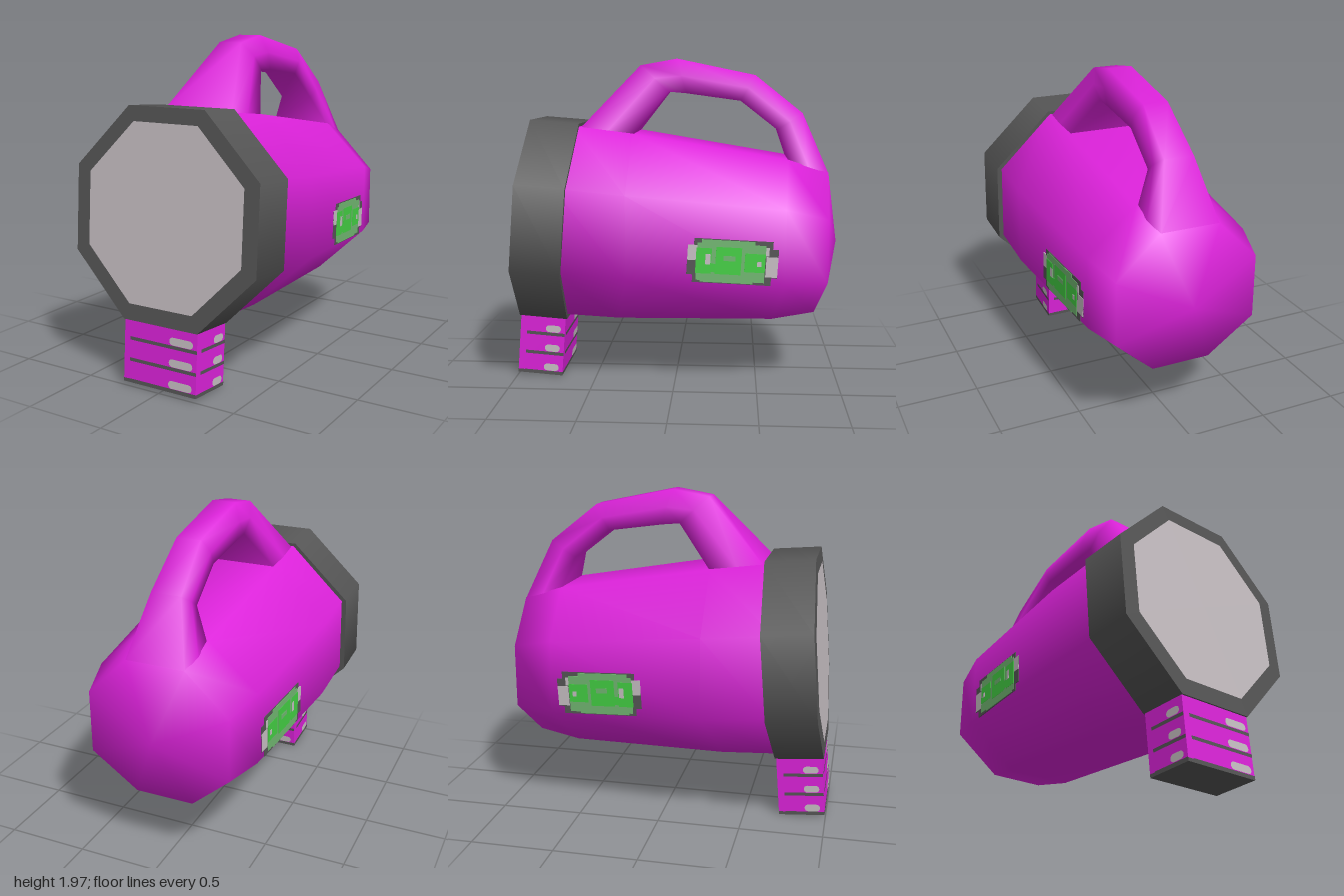
import * as THREE from 'three';

const mat = (name, color, side = THREE.FrontSide) => {
  const m = new THREE.MeshStandardMaterial({ color, side });
  m.name = name;
  return m;
};

// Skin a list of closed rings (counter-clockwise seen from the front), with an optional end point
function loft(rings, apex) {
  const n = rings[0].length, pos = rings.flat(2), idx = [];
  for (let i = 0; i < rings.length; i++) {
    for (let j = 0; j < n; j++) {
      const a = i * n + j, b = i * n + (j + 1) % n;
      if (i < rings.length - 1) idx.push(a, a + n, b, b, a + n, b + n);
      else if (apex) idx.push(a, rings.length * n, b);
    }
  }
  if (apex) pos.push(...apex);
  const g = new THREE.BufferGeometry();
  g.setAttribute('position', new THREE.Float32BufferAttribute(pos, 3));
  g.setIndex(idx);
  g.computeVertexNormals();
  return g;
}

export function createModel() {
  const magenta = mat('magenta shell', 0xdc22da);
  const dark = mat('dark grey', 0x565656);
  const pale = mat('pale grey', 0xc8c0c4);
  const lightGreen = mat('soft green', 0x72b872);
  const green = mat('bright green', 0x44d044);

  const model = new THREE.Group();
  const add = (parent, name, geo, material, x = 0, y = 0, z = 0) => {
    const m = new THREE.Mesh(geo, material);
    m.name = name;
    m.position.set(x, y, z);
    parent.add(m);
    return m;
  };

  // Body: octagonal sections from front to back
  // [half width, top half flat, yTop, yHigh, yLow, yBottom, zTop, zSide, zBottom]
  const bodyRings = [
    [0.58, 0.24, 1.57, 1.23, 0.74, 0.40, 0.62, 0.68, 0.72],
    [0.58, 0.24, 1.525, 1.19, 0.70, 0.38, 0.26, 0.27, 0.35],
    [0.50, 0.21, 1.37, 1.10, 0.66, 0.38, -0.68, -0.66, -0.595],
    [0.435, 0.18, 1.29, 1.04, 0.66, 0.42, -0.925, -0.91, -0.855],
  ].map(([w, t, top, hi, lo, bot, zt, zs, zb]) => [
    [w, lo, zs], [w, hi, zs], [t, top, zt], [-t, top, zt],
    [-w, hi, zs], [-w, lo, zs], [-t, bot, zb], [t, bot, zb],
  ]);
  add(model, 'body', loft(bodyRings, [0, 0.84, -1]), magenta);

  // Handle: six-sided bar flaring into the body at both ends
  // [outer z, outer y, outer half width, inner z, inner y, inner half width]
  const handleRings = [
    [0.585, 1.55, 0.235, 0.26, 1.515, 0.23],
    [0.225, 1.935, 0.075, 0.05, 1.775, 0.11],
    [0.0, 1.975, 0.075, -0.06, 1.765, 0.11],
    [-0.48, 1.875, 0.075, -0.39, 1.72, 0.11],
    [-0.77, 1.645, 0.09, -0.615, 1.545, 0.11],
    [-0.925, 1.285, 0.18, -0.68, 1.365, 0.20],
  ].map(([oz, oy, ow, iz, iy, iw]) => {
    const m = [Math.max(ow, iw) + 0.005, (oy + iy) / 2, (oz + iz) / 2];
    return [
      [iw, iy, iz], m, [ow, oy, oz],
      [-ow, oy, oz], [-m[0], m[1], m[2]], [-iw, iy, iz],
    ];
  });
  add(model, 'handle', loft(handleRings), magenta);

  // Head: slightly upturned octagonal rim with a lens
  const head = new THREE.Group();
  head.name = 'head';
  head.position.set(0, 0.988, 0.78);
  head.rotation.x = -0.078;
  model.add(head);
  const octRadius = (apothem) => apothem / Math.cos(Math.PI / 8);
  const rimGeo = new THREE.CylinderGeometry(octRadius(0.61), octRadius(0.61), 0.298, 8, 1, false, Math.PI / 8);
  rimGeo.rotateX(Math.PI / 2);
  add(head, 'rim', rimGeo, dark);
  add(head, 'lens', new THREE.CircleGeometry(octRadius(0.518), 8, Math.PI / 8), pale, 0, 0.005, 0.153);

  // Foot: block under the head with a dark sole
  add(head, 'foot', new THREE.BoxGeometry(0.5, 0.39, 0.28), magenta, 0, -0.765, 0);
  add(head, 'sole', new THREE.BoxGeometry(0.5, 0.02, 0.28), dark, 0, -0.97, 0);

  // Grooves and pads repeated on the four faces of the foot
  for (let k = 0; k < 4; k++) {
    const face = new THREE.Group();
    face.name = 'footFace';
    face.rotation.y = k * Math.PI / 2;
    head.add(face);
    const wide = k % 2 === 0;
    const half = wide ? 0.25 : 0.14, out = wide ? 0.14 : 0.25;
    const padLength = wide ? 0.16 : 0.095, r = 0.0225;
    const grooveLength = half * 2 - 0.04;
    const pad = new THREE.Shape();
    pad.absarc(padLength / 2 - r, 0, r, -Math.PI / 2, Math.PI / 2);
    pad.absarc(-padLength / 2 + r, 0, r, Math.PI / 2, Math.PI * 1.5);
    for (let i = 0; i < 3; i++) {
      const y = -0.717 - i * 0.125;
      add(face, 'groove', new THREE.PlaneGeometry(grooveLength, 0.02), dark, 0.02, y, out + 0.002);
      add(face, 'pad', new THREE.ShapeGeometry(pad, 4), pale, half - 0.025 - padLength / 2, y + 0.035, out + 0.004);
    }
  }

  // Side panels: layered thin blocks [material, z, y, length, height, layer]
  const blocks = [
    [dark, 0.0, 0.0, 0.46, 0.26, 0],
    [dark, 0.0, 0.0, 0.53, 0.17, 0],
    [pale, 0.235, 0.045, 0.06, 0.09, 1],
    [pale, -0.23, -0.02, 0.07, 0.12, 1],
    [pale, -0.18, 0.07, 0.06, 0.05, 1],
    [lightGreen, 0.01, -0.005, 0.40, 0.22, 2],
    [lightGreen, 0.03, 0.0, 0.31, 0.25, 2],
    [green, 0.17, 0.0, 0.09, 0.15, 3],
    [green, 0.025, 0.005, 0.15, 0.16, 3],
    [green, -0.13, 0.0, 0.12, 0.11, 3],
    [green, 0.1, -0.04, 0.06, 0.05, 3],
    [lightGreen, 0.02, 0.02, 0.07, 0.03, 4],
    [pale, 0.145, 0.01, 0.03, 0.06, 4],
    [pale, -0.155, -0.005, 0.025, 0.03, 4],
  ];
  for (const s of [1, -1]) {
    const panel = new THREE.Group();
    panel.name = s > 0 ? 'leftPanel' : 'rightPanel';
    panel.position.set(s * 0.527, 0.803, -0.35);
    panel.rotation.set(-0.06, s * 0.086, 0, 'YXZ');
    model.add(panel);
    for (const [m, z, y, len, h, layer] of blocks) {
      add(panel, 'panelBlock', new THREE.BoxGeometry(0.006, h, len), m, s * layer * 0.0015, y, z);
    }
  }
  return model;
}
